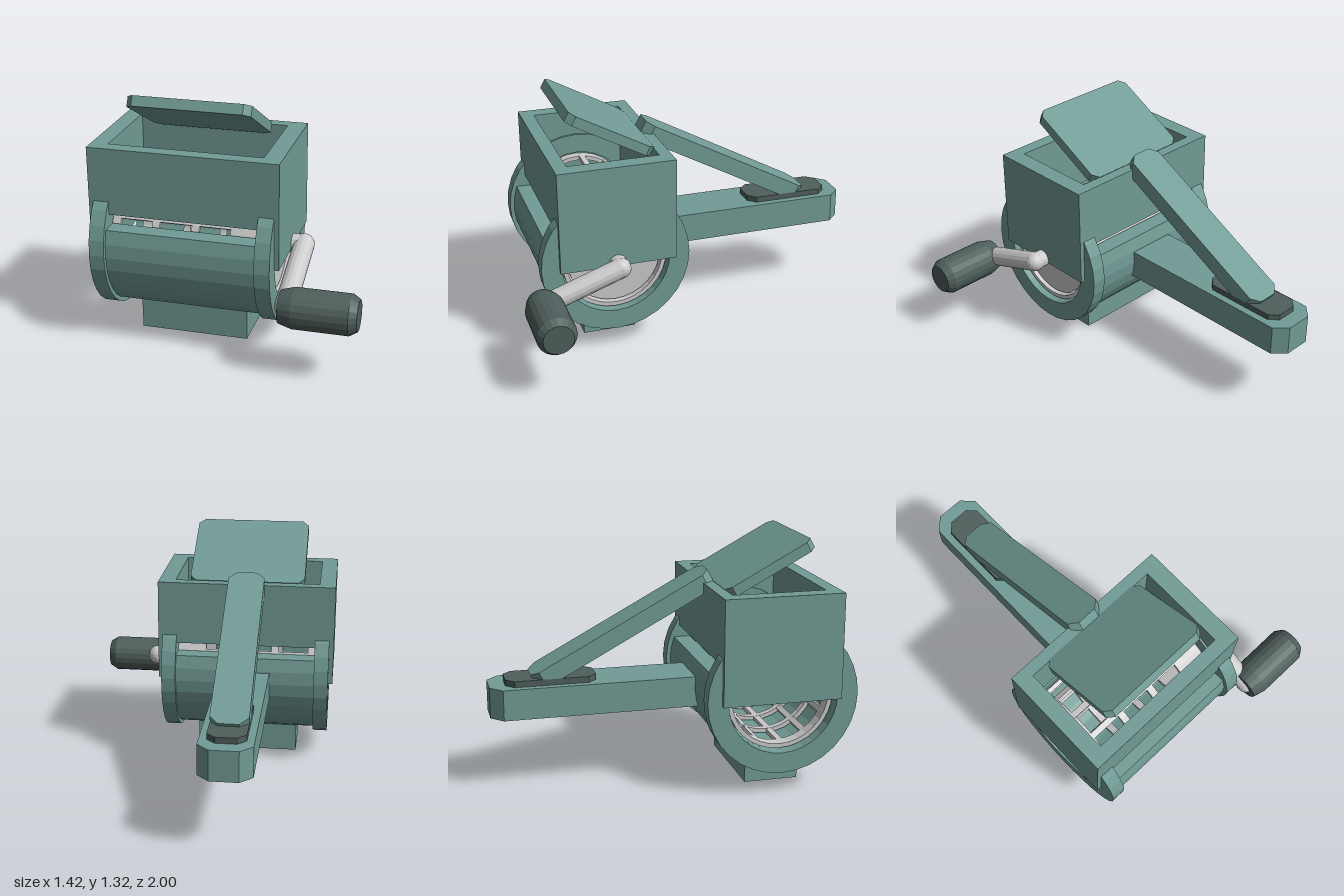
import * as THREE from 'three';

const paint = (color) => new THREE.MeshStandardMaterial({ color, flatShading: true, side: THREE.DoubleSide });

export function createModel() {
  const model = new THREE.Group();
  const teal = paint(0x719b95), dark = paint(0x4f5f5c), grey = paint(0xcccccc);
  const AXIS_Y = 0.517, AXIS_Z = 0.47;

  const add = (name, geometry, material, parent = model) => {
    const mesh = new THREE.Mesh(geometry, material);
    mesh.name = name;
    parent.add(mesh);
    return mesh;
  };

  // Box given by its lower and upper limits
  const box = (name, x0, x1, y0, y1, z0, z1, material = teal) => {
    const mesh = add(name, new THREE.BoxGeometry(x1 - x0, y1 - y0, z1 - z0), material);
    mesh.position.set((x0 + x1) / 2, (y0 + y1) / 2, (z0 + z1) / 2);
    return mesh;
  };

  // Section in the side plane, extruded along x; shape u runs towards -z
  const alongX = (shape, x0, x1, curveSegments = 16) =>
    new THREE.ExtrudeGeometry(shape, { depth: x1 - x0, bevelEnabled: false, curveSegments })
      .rotateY(Math.PI / 2).translate(x0, 0, 0);

  const ring = (inner, outer) => {
    const shape = new THREE.Shape().absarc(0, 0, outer, 0, Math.PI * 2);
    shape.holes.push(new THREE.Path().absarc(0, 0, inner, 0, Math.PI * 2, true));
    return shape;
  };

  // Slab from z0 to z1, thickness h up from y = 0, corners cut by back and front amounts
  const slab = (w, z0, z1, h, back, front) => {
    const a = w / 2;
    const points = [
      [-a + front, -z1], [a - front, -z1], [a, -z1 + front], [a, -z0 - back],
      [a - back, -z0], [-a + back, -z0], [-a, -z0 - back], [-a, -z1 + front],
    ].map(([x, y]) => new THREE.Vector2(x, y));
    return new THREE.ExtrudeGeometry(new THREE.Shape(points), { depth: h, bevelEnabled: false })
      .rotateX(-Math.PI / 2);
  };

  // Foot
  box('foot', -0.51, 0.07, 0, 0.17, 0.325, 0.62);

  // Hopper: long side walls, shorter front and back walls
  box('hopperSideWall', -0.715, -0.625, 0.5, 1.065, 0.14, 0.78);
  box('hopperSideWall', 0.185, 0.28, 0.5, 1.065, 0.14, 0.78);
  box('hopperFrontWall', -0.625, 0.185, 0.71, 1.065, 0.705, 0.78);
  box('hopperBackWall', -0.625, 0.185, 0.71, 1.065, 0.14, 0.205);

  // Drum housing, open at the top, with an end ring on each side
  const housing = new THREE.Group();
  housing.name = 'drumHousing';
  housing.position.set(0, AXIS_Y, AXIS_Z);
  model.add(housing);
  const R = 0.385, r = 0.297, cut = 0.128;
  const ao = Math.asin(cut / R), ai = Math.asin(cut / r);
  const trough = new THREE.Shape()
    .absarc(0, 0, R, Math.PI - ao, Math.PI * 2 + ao)
    .absarc(0, 0, r, ai, -Math.PI - ai, true);
  add('housingTrough', alongX(trough, -0.615, 0.18, 10), teal, housing);
  for (const x of [-0.69, 0.175]) add('endRing', alongX(ring(r, 0.408), x, x + 0.08), teal, housing);

  // Slotted grating drum: bands joined by lengthwise bars
  const drum = new THREE.Group();
  drum.name = 'gratingDrum';
  drum.position.copy(housing.position);
  model.add(drum);
  for (const [x0, x1] of [[-0.64, -0.57], [-0.4, -0.36], [-0.19, -0.15], [0.015, 0.22]])
    add('drumBand', alongX(ring(0.264, 0.287), x0, x1), grey, drum);
  for (let i = 0; i < 12; i++) {
    const mid = Math.PI - THREE.MathUtils.degToRad(5 + 30 * i), half = 0.06;
    const bar = new THREE.Shape()
      .absarc(0, 0, 0.287, mid - half, mid + half)
      .absarc(0, 0, 0.264, mid + half, mid - half, true);
    add('drumBar', alongX(bar, -0.575, 0.02, 2), grey, drum);
  }
  add('drumEndPlate', new THREE.CylinderGeometry(0.255, 0.255, 0.04, 32)
    .rotateZ(Math.PI / 2).translate(0.18, 0, 0), grey, drum);

  // Crank: shaft, sloping arm with rounded ends, and knob
  const top = new THREE.Vector3(0.34, AXIS_Y, AXIS_Z);
  const end = new THREE.Vector3(0.34, 0.367, 0.895);
  const rod = (name, a, b, radius) => {
    const mesh = add(name, new THREE.CylinderGeometry(radius, radius, a.distanceTo(b), 16), grey);
    mesh.position.lerpVectors(a, b, 0.5);
    mesh.quaternion.setFromUnitVectors(new THREE.Vector3(0, 1, 0), b.clone().sub(a).normalize());
  };
  rod('crankShaft', new THREE.Vector3(0.16, AXIS_Y, AXIS_Z), top, 0.05);
  rod('crankArm', top, end, 0.055);
  for (const p of [top, end])
    add('crankJoint', new THREE.SphereGeometry(0.055, 16, 12), grey).position.copy(p);
  const knobProfile = [[0, 0], [0.085, 0], [0.105, 0.07], [0.105, 0.355], [0.08, 0.395], [0, 0.395]]
    .map(([x, y]) => new THREE.Vector2(x, y));
  add('crankKnob', new THREE.LatheGeometry(knobProfile, 20).rotateZ(-Math.PI / 2), dark)
    .position.set(0.315, 0.367, 0.895);

  // Fixed handle with the hinge pad on it
  add('handle', slab(0.28, -1, 0.12, 0.165, 0.065, 0), teal).position.set(-0.22, 0.4, 0);
  add('hingePad', slab(0.2, -0.915, -0.435, 0.032, 0.045, 0.045), dark).position.set(-0.22, 0.565, 0);

  // Press lever, tilted up to the front, carrying the press plate
  const lever = new THREE.Group();
  lever.name = 'pressLever';
  lever.position.set(0, 0.614, -0.783);
  lever.rotation.x = -Math.atan2(0.514, 0.955);
  model.add(lever);
  add('leverArm', slab(0.2, 0, 1.085, 0.093, 0.045, 0.045), teal, lever).position.set(-0.22, -0.093, 0);
  add('pressPlate', slab(0.645, 1.08, 1.6, 0.055, 0.035, 0.035), teal, lever).position.set(-0.217, -0.12, 0);

  return model;
}
